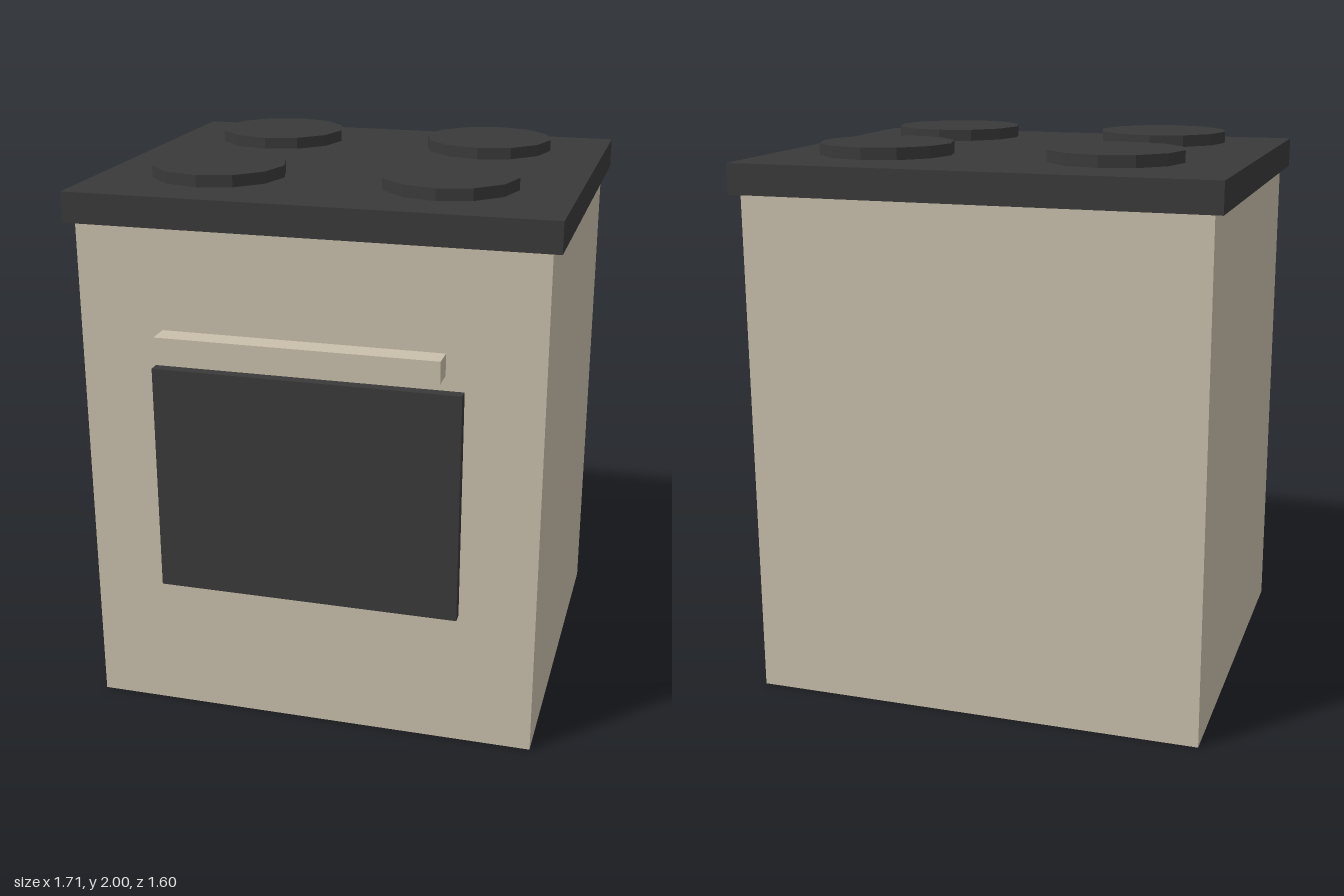
import * as THREE from 'three';

export function createModel() {
  const cream = new THREE.MeshStandardMaterial({ color: 0xc9bfab });
  cream.name = 'cream enamel';
  const charcoal = new THREE.MeshStandardMaterial({ color: 0x3a3a3a });
  charcoal.name = 'charcoal';
  charcoal.flatShading = true;

  const stove = new THREE.Group();
  stove.name = 'stove';

  const add = (name, geometry, material, x, y, z) => {
    const mesh = new THREE.Mesh(geometry, material);
    mesh.name = name;
    mesh.position.set(x, y, z);
    stove.add(mesh);
  };

  // Box centred on x, given by half width and its y and z ranges
  const box = (name, material, halfW, y0, y1, z0, z1) =>
    add(name, new THREE.BoxGeometry(halfW * 2, y1 - y0, z1 - z0), material, 0, (y0 + y1) / 2, (z0 + z1) / 2);

  box('body', cream, 0.823, 0, 1.84, -0.77, 0.662);
  box('cooktop', charcoal, 0.855, 1.84, 1.948, -0.802, 0.692);
  box('ovenDoor', charcoal, 0.55, 0.506, 1.343, 0.662, 0.703);
  box('ovenHandle', cream, 0.495, 1.415, 1.492, 0.716, 0.802);

  // Four twelve-sided burners, set just clear of the cooktop
  const burner = new THREE.CylinderGeometry(0.24, 0.24, 0.042, 12);
  for (const x of [-0.416, 0.416]) {
    for (const z of [-0.43, 0.316]) {
      add(`${z < 0 ? 'back' : 'front'}${x < 0 ? 'Right' : 'Left'}Burner`, burner, charcoal, x, 1.979, z);
    }
  }

  return stove;
}
